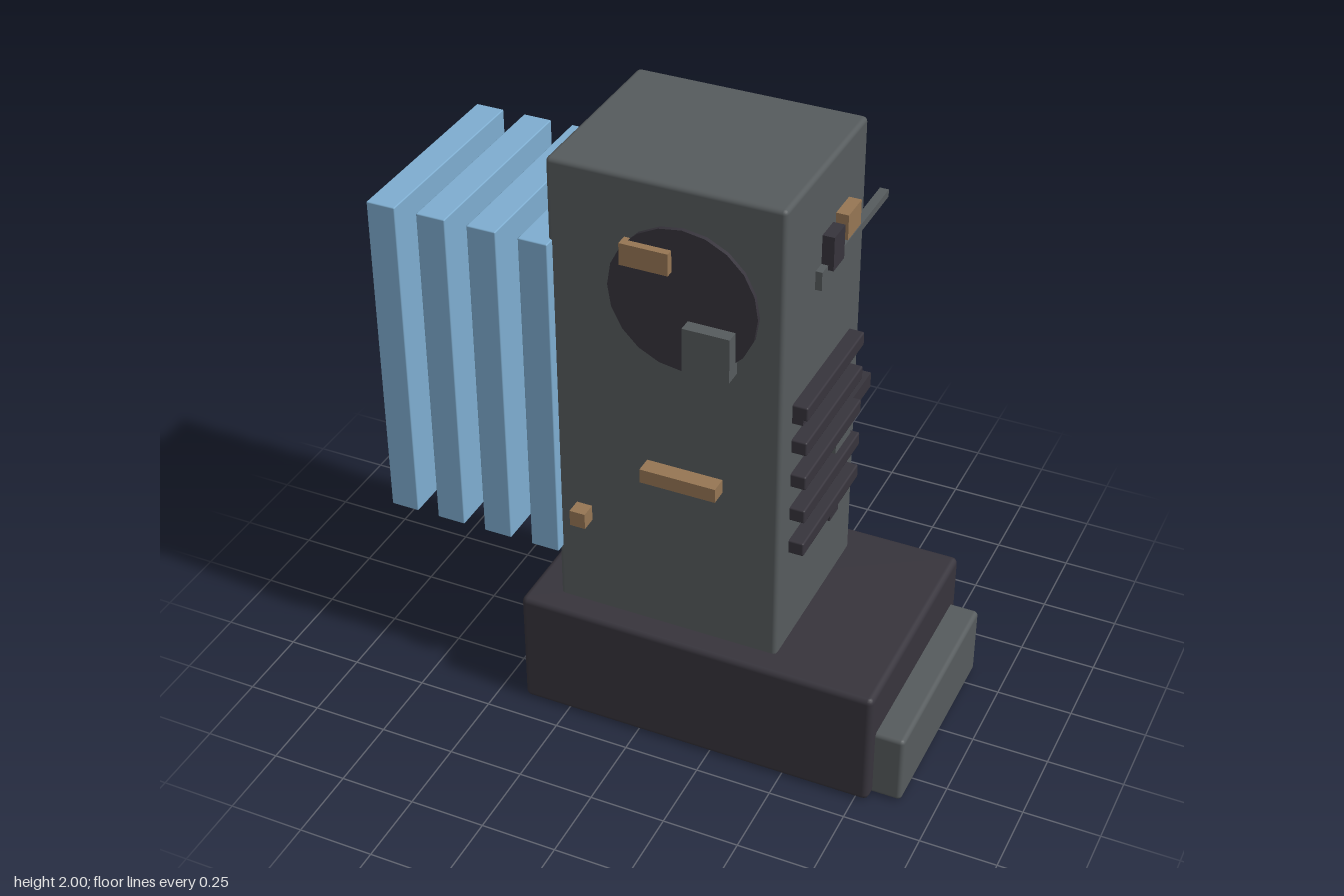
import * as THREE from 'three';
import { RoundedBoxGeometry } from 'three/addons/geometries/RoundedBoxGeometry.js';

const material = (name, color) => {
  const m = new THREE.MeshStandardMaterial({ color });
  m.name = name;
  return m;
};

export function createModel() {
  const grey = material('hull grey', 0x565b5d);
  const dark = material('dark metal', 0x37343c);
  const blue = material('radiator blue', 0x7eadd0);
  const tan = material('copper tan', 0x967654);

  const model = new THREE.Group();
  model.name = 'tower';

  // Box given by its extents on each axis, with an optional softened edge
  function box(name, mat, [x0, x1], [y0, y1], [z0, z1], bevel = 0) {
    const size = [x1 - x0, y1 - y0, z1 - z0];
    const geometry = bevel
      ? new RoundedBoxGeometry(...size, 2, bevel)
      : new THREE.BoxGeometry(...size);
    const mesh = new THREE.Mesh(geometry, mat);
    mesh.name = name;
    mesh.position.set((x0 + x1) / 2, (y0 + y1) / 2, (z0 + z1) / 2);
    model.add(mesh);
  }

  // Main masses
  box('base', dark, [-0.41, 0.793], [0.005, 0.418], [-0.373, 0.41], 0.02);
  box('sideStep', grey, [0.7, 0.888], [0.007, 0.253], [-0.333, 0.367], 0.015);
  box('towerBody', grey, [-0.306, 0.44], [0.38, 2], [-0.288, 0.328], 0.015);

  // Drum running through the tower, showing as a disc front and back
  const drum = new THREE.Mesh(new THREE.CylinderGeometry(0.237, 0.237, 0.642, 20), dark);
  drum.name = 'drum';
  drum.rotation.x = Math.PI / 2;
  drum.position.set(0.128, 1.636, 0.021);
  model.add(drum);

  // Radiator fins beside the tower
  for (let i = 0; i < 4; i++) {
    const x = -0.846 + i * 0.169;
    box('radiatorFin', blue, [x - 0.048, x + 0.048], [0.61, 1.732], [-0.322, 0.362], 0.004);
  }

  // Vent slats on the left side
  for (let i = 0; i < 5; i++) {
    const y = 1.286 - i * 0.125;
    box('ventSlat', dark, [0.43, 0.489], [y - 0.024, y + 0.024], [-0.207, 0.248], 0.006);
  }

  // Front fittings
  box('frontLabelBlock', tan, [-0.058, 0.096], [1.728, 1.8], [0.31, 0.367]);
  box('frontPanel', grey, [0.147, 0.297], [1.43, 1.577], [0.31, 0.385]);
  box('frontBar', tan, [0.006, 0.254], [0.987, 1.035], [0.31, 0.383]);
  box('frontKnob', tan, [-0.238, -0.186], [0.745, 0.8], [0.31, 0.38]);

  // Left side fittings
  const inner = 0.42;
  box('sideBlock', tan, [inner, 0.48], [1.717, 1.8], [-0.15, -0.048]);
  box('antennaMount', dark, [inner, 0.478], [1.668, 1.78], [-0.028, 0.055]);
  box('antennaPad', grey, [inner, 0.461], [1.622, 1.684], [0, 0.1]);
  box('antennaRod', grey, [0.441, 0.47], [1.67, 1.695], [-0.413, 0]);
  box('sideBar', dark, [inner, 0.463], [1.007, 1.06], [-0.357, 0]);
  box('sidePad', grey, [inner, 0.466], [0.94, 1.005], [-0.185, -0.058]);
  box('lowerSideBlock', dark, [inner, 0.46], [0.684, 0.77], [-0.117, -0.047]);
  box('upperSideStrip', dark, [inner, 0.475], [1.245, 1.29], [0.095, 0.248]);

  // Back fittings
  box('backPanel', dark, [-0.172, -0.025], [0.805, 0.952], [-0.328, -0.26]);
  box('backPad', grey, [-0.17, -0.02], [0.742, 0.865], [-0.313, -0.26]);

  return model;
}
